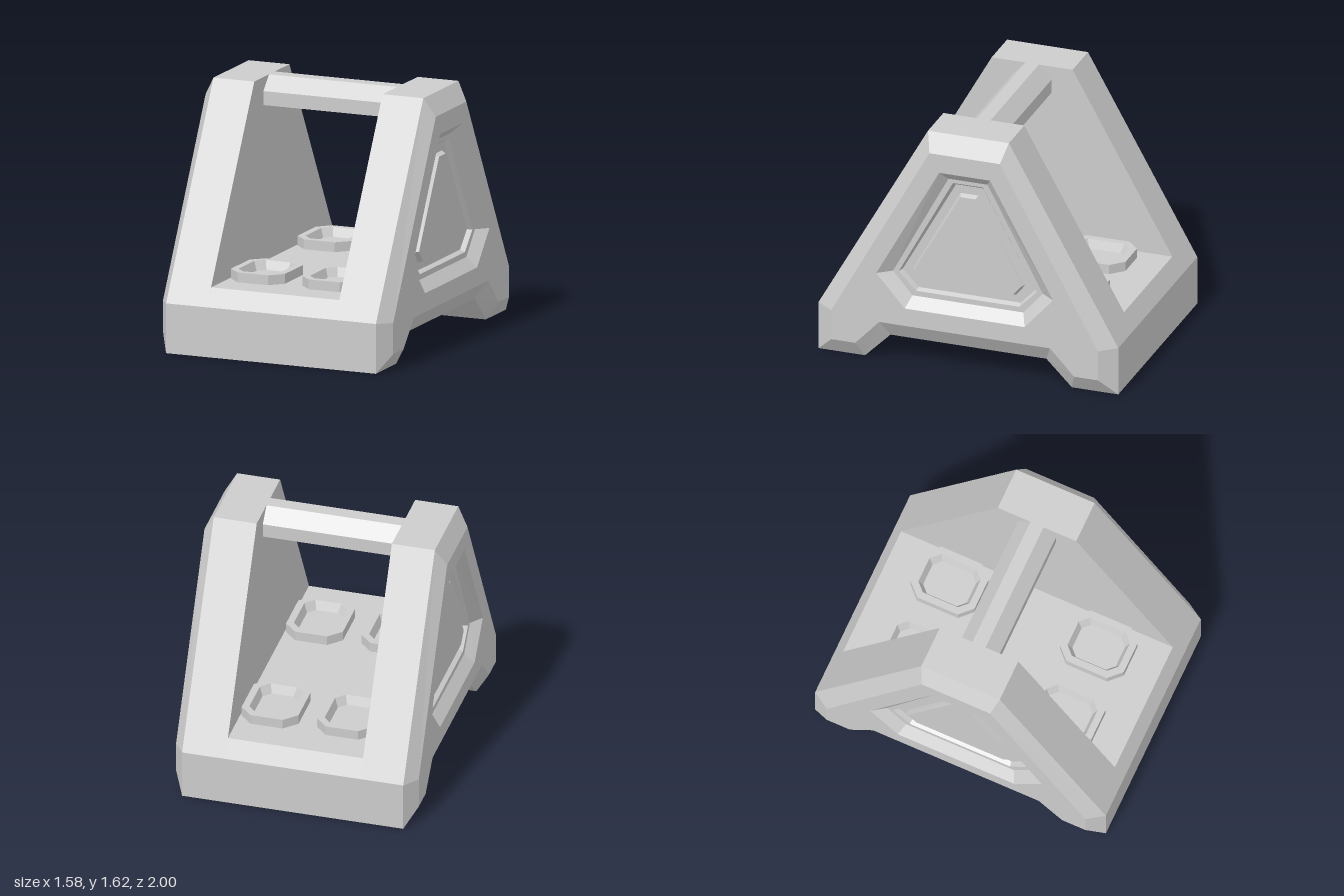
import * as THREE from 'three';

const grey = new THREE.MeshStandardMaterial({ color: 0xcccccc });
grey.name = 'light grey';

// Flat-faced skin through counter-clockwise loops, given as [depth, points]
function loft(rings) {
  const pos = [];
  for (let r = 0; r + 1 < rings.length; r++) {
    const [z0, p0] = rings[r], [z1, p1] = rings[r + 1];
    for (let i = 0; i < p0.length; i++) {
      const j = (i + 1) % p0.length;
      const a = [...p0[i], z0], b = [...p0[j], z0], c = [...p1[j], z1], d = [...p1[i], z1];
      pos.push(...a, ...b, ...c, ...a, ...c, ...d);
    }
  }
  const g = new THREE.BufferGeometry();
  g.setAttribute('position', new THREE.Float32BufferAttribute(pos, 3));
  g.computeVertexNormals();
  return g;
}

// Flat face at a depth, with an optional hole
function face(points, depth, hole) {
  const toV = (p) => new THREE.Vector2(p[0], p[1]);
  const s = new THREE.Shape(points.map(toV));
  if (hole) s.holes.push(new THREE.Path(hole.map(toV)));
  return new THREE.ShapeGeometry(s).translate(0, 0, depth);
}

function add(parent, name, geometry) {
  const m = new THREE.Mesh(geometry, grey);
  m.name = name;
  parent.add(m);
  return m;
}

// Mirrors the +x half of an outline, listed from its lower to its upper end
const mirrored = (half) => [...half, ...half.map(([x, y]) => [-x, y]).reverse()];

const octagon = (w, d, c) => [
  [w, -d + c], [w, d - c], [w - c, d], [-w + c, d],
  [-w, d - c], [-w, -d + c], [-w + c, -d], [w - c, -d],
];

// Clipped triangle used by the side panels
const panel = (topX, topY, wideX, wideY, botX, botY) =>
  mirrored([[botX, botY], [wideX, wideY], [topX, topY]]);

export function createModel() {
  const model = new THREE.Group();
  model.name = 'carryFrame';

  const foot = [[0.52, 0.17], [0.69, 0], [1, 0], [1, 0.32]];
  const outline = mirrored([...foot, [0.27, 1.62]]);
  const inset = mirrored([[0.57, 0.28], [0.73, 0.11], [0.89, 0.11], [0.89, 0.31], [0.235, 1.5]]);

  // Side frames, with bevelled edges and a sunken panel
  const recess = [
    [0.79, panel(0.17, 1.375, 0.59, 0.615, 0.4, 0.4)],
    [0.73, panel(0.13, 1.315, 0.5, 0.62, 0.37, 0.47)],
    [0.73, panel(0.1, 1.29, 0.46, 0.625, 0.345, 0.505)],
    [0.7, panel(0.09, 1.27, 0.445, 0.63, 0.34, 0.52)],
    [0.7, panel(0.06, 1.215, 0.375, 0.65, 0.31, 0.57)],
    [0.73, panel(0.05, 1.2, 0.36, 0.65, 0.3, 0.582)],
  ];
  for (const [side, label] of [[1, 'left'], [-1, 'right']]) {
    const frame = new THREE.Group();
    frame.name = label + 'SideFrame';
    frame.rotation.y = side * Math.PI / 2;
    add(frame, 'frameEdge', loft([[0.44, outline], [0.72, outline], [0.79, inset]]));
    add(frame, 'outerFace', face(inset, 0.79, recess[0][1]));
    add(frame, 'innerFace', face(outline, -0.44).rotateY(Math.PI));
    add(frame, 'panelRecess', loft(recess));
    add(frame, 'panelCentre', face(recess[5][1], 0.73));
    model.add(frame);
  }

  // Base and top handle spanning between the side frames
  const base = mirrored([...foot, [0.935, 0.435]]);
  const handle = mirrored([[0.13, 1.44], [0.13, 1.53], [0.045, 1.62]]);
  for (const [name, section] of [['base', base], ['handle', handle]])
    add(model, name, loft([[-0.44, section], [0.44, section]])).rotation.y = Math.PI / 2;

  // Four octagonal cups on the base
  const rim = octagon(0.185, 0.22, 0.08);
  const mouth = octagon(0.14, 0.176, 0.055);
  const well = octagon(0.118, 0.15, 0.047);
  for (const x of [-0.245, 0.245]) for (const z of [-0.513, 0.513]) {
    const cup = new THREE.Group();
    cup.name = 'cup';
    cup.rotation.x = -Math.PI / 2;
    cup.position.set(x, 0, z);
    add(cup, 'cupRim', loft([[0.435, rim], [0.498, rim], [0.498, mouth], [0.441, well]]));
    add(cup, 'cupFloor', face(well, 0.441));
    model.add(cup);
  }
  return model;
}
